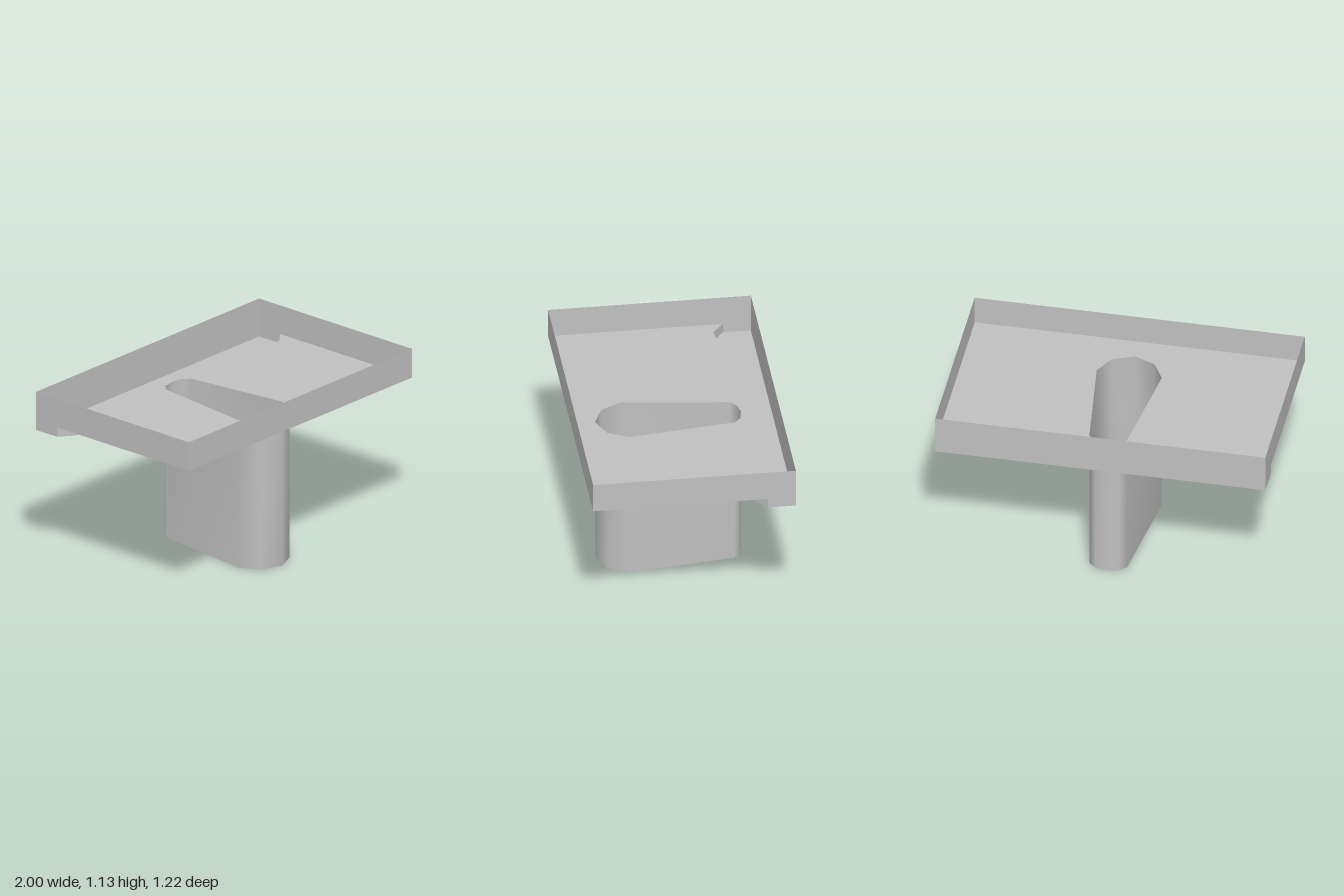
import * as THREE from 'three';

const grey = new THREE.MeshStandardMaterial({ color: 0xc0c0c0, side: THREE.DoubleSide });
grey.name = 'plain grey';

const W = 1, D = 0.608;                 // half width and half depth of the tray
const RIM = 1.128, FLOOR = 0.945, LIP = 0.885, BOSS = 0.065;

// Mirrors a half outline [x, z], running from the front tip to the back tip, into a full loop
const mirrored = half => [...half, ...half.slice(1, -1).reverse().map(([x, z]) => [-x, z])];

const pillarOutline = mirrored([[0, 0.462], [0.13, 0.407], [0.197, 0.285], [0.115, -0.36], [0.072, -0.4], [0, -0.413]]);
const bossFoot = mirrored([[0, 0.398], [0.095, 0.36], [0.138, 0.272], [0.068, -0.325], [0.042, -0.353], [0, -0.362]]);
const bossTop = mirrored([[0, 0.366], [0.085, 0.335], [0.125, 0.262], [0.056, -0.312], [0.034, -0.33], [0, -0.336]]);

const lipHalf = [[0, -0.452], [0.5, -0.425], [0.91, -0.37], [W, -0.44]];
const lipCurve = [...lipHalf.slice(1).reverse().map(([x, z]) => [-x, z]), ...lipHalf];
const trayOutline = [[-W, D], [W, D], [W, -D], [-W, -D]];
const lipOutline = [...lipCurve, [W, -D], [-W, -D]];

// Closed wall between a lower and an upper outline
function wall(lower, y0, upper, y1, smooth) {
  const n = lower.length, pos = [], index = [];
  for (let i = 0; i < n; i++) {
    pos.push(lower[i][0], y0, lower[i][1], upper[i][0], y1, upper[i][1]);
    const a = 2 * i, b = 2 * ((i + 1) % n);
    index.push(a, b, b + 1, a, b + 1, a + 1);
  }
  let g = new THREE.BufferGeometry();
  g.setAttribute('position', new THREE.Float32BufferAttribute(pos, 3));
  g.setIndex(index);
  if (!smooth) g = g.toNonIndexed();
  g.computeVertexNormals();
  return g;
}

// Horizontal sheet with an optional hole
function sheet(outline, y, hole) {
  const v = pts => pts.map(([x, z]) => new THREE.Vector2(x, z));
  const shape = new THREE.Shape(v(outline));
  if (hole) shape.holes.push(new THREE.Path(v(hole)));
  return new THREE.ShapeGeometry(shape).rotateX(Math.PI / 2).translate(0, y, 0);
}

export function createModel() {
  const model = new THREE.Group();
  const add = (name, geometry) => {
    const mesh = new THREE.Mesh(geometry, grey);
    mesh.name = name;
    model.add(mesh);
  };

  // Open tray with a lower strip along the back
  add('trayWalls', wall(trayOutline, FLOOR, trayOutline, RIM, false));
  add('trayFloor', sheet([[-W, D], [W, D], ...[...lipCurve].reverse()], FLOOR, pillarOutline));
  add('backLipWalls', wall(lipOutline, LIP, lipOutline, FLOOR, false));
  add('backLipFloor', sheet(lipOutline, LIP));

  // Hollow teardrop pillar, open to the tray
  add('pillar', wall(pillarOutline, 0, pillarOutline, FLOOR, true));
  add('pillarBase', sheet(pillarOutline, 0, bossFoot));

  // Tapered recess pressed up into the pillar base
  add('baseRecessWall', wall(bossFoot, 0, bossTop, BOSS, true));
  add('baseRecessTop', sheet(bossTop, BOSS));

  return model;
}
